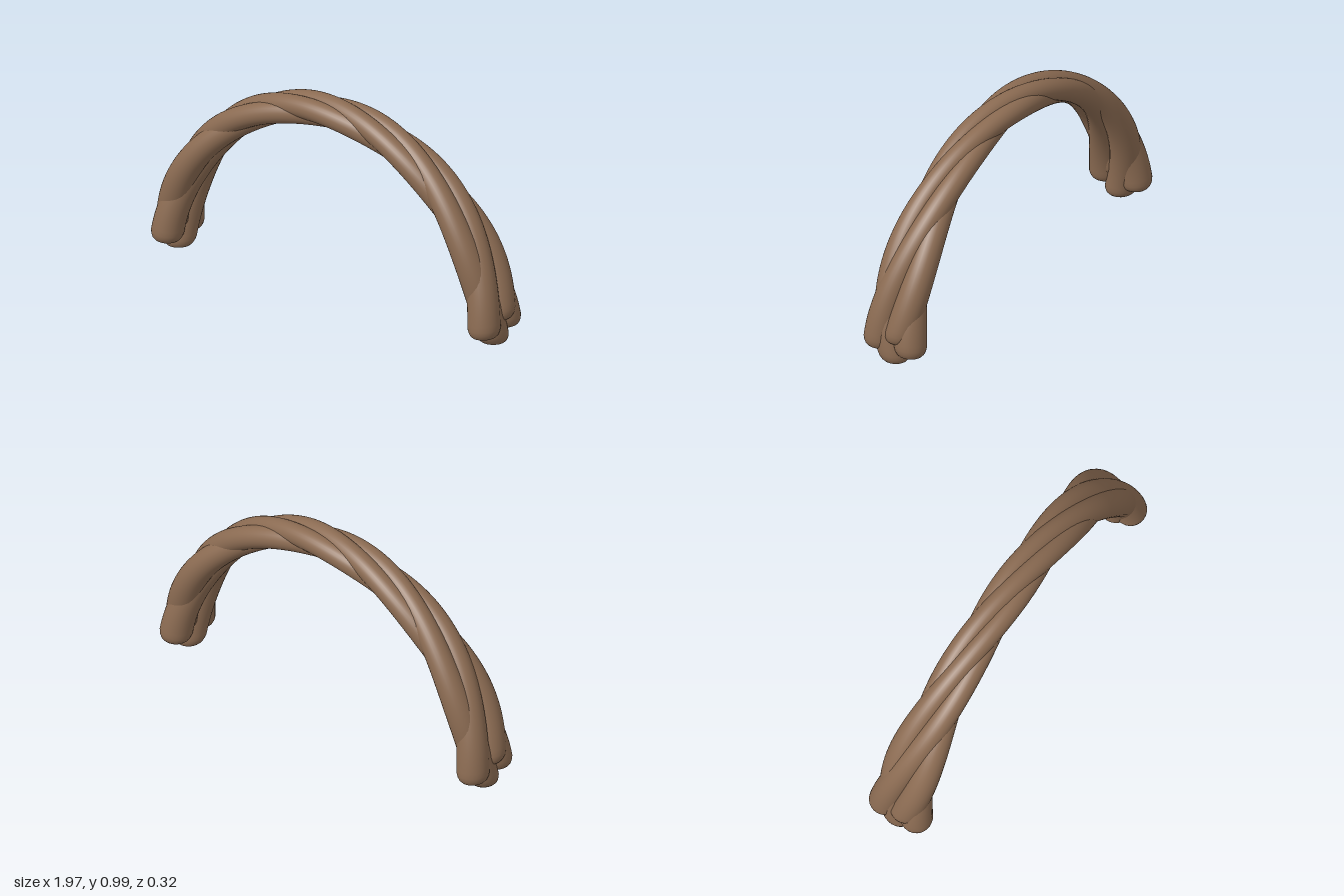
import * as THREE from 'three';

const ARCH_RADIUS = 0.91;
const STRANDS = 4;
const TWIST = Math.PI * 3;
const SIDES = 28;
const STEPS = 110;

// rounded strand tip: distance from the end, share of the full radius
const TIP = [[0, 0], [0, 0.62], [0.005, 0.76], [0.014, 0.87], [0.028, 0.95], [0.045, 1]];

// angle of a strand around the arch centre line, twisting slower at the ends
function phase(strand, theta) {
  const v = theta / Math.PI;
  return Math.PI / 2 * (1 + strand) - TWIST * (v - 0.025 * Math.sin(2 * Math.PI * v));
}

// one strand: circular sections swept along the twisted arch
function strandGeometry(strand) {
  const endGap = (theta) => (0.055 + 0.055 * Math.cos(phase(strand, theta))) / ARCH_RADIUS;
  const start = endGap(0);
  const end = Math.PI - endGap(Math.PI);

  const rings = TIP.map(([d, k]) => [start + d / ARCH_RADIUS, k]);
  const first = rings[rings.length - 1][0];
  const last = end - TIP[TIP.length - 1][0] / ARCH_RADIUS;
  for (let i = 1; i < STEPS; i++) rings.push([first + (last - first) * i / STEPS, 1]);
  for (const [d, k] of [...TIP].reverse()) rings.push([end - d / ARCH_RADIUS, k]);

  const positions = [];
  const indices = [];
  rings.forEach(([theta, k], i) => {
    // strands are thicker and spread sideways towards the feet
    const spread = Math.abs(Math.cos(theta)) ** 3;
    const radius = (0.052 + 0.026 * spread) * k;
    const phi = phase(strand, theta);
    const out = ARCH_RADIUS + 0.005 * (1 - spread) + (0.024 - 0.014 * spread) * Math.cos(phi);
    const side = (0.049 + 0.038 * spread) * Math.sin(phi);
    for (let j = 0; j < SIDES; j++) {
      const a = j / SIDES * Math.PI * 2;
      const r = out + radius * Math.cos(a);
      positions.push(r * Math.cos(theta), r * Math.sin(theta), side + radius * Math.sin(a));
      if (i < rings.length - 1) {
        const p = i * SIDES + j;
        const q = i * SIDES + (j + 1) % SIDES;
        indices.push(p, p + SIDES, q, q, p + SIDES, q + SIDES);
      }
    }
  });

  const geometry = new THREE.BufferGeometry();
  geometry.setAttribute('position', new THREE.Float32BufferAttribute(positions, 3));
  geometry.setIndex(indices);
  geometry.computeVertexNormals();
  return geometry;
}

export function createModel() {
  const model = new THREE.Group();
  model.name = 'twistedArch';
  const bark = new THREE.MeshStandardMaterial({ color: 0x8b6b52 });
  bark.name = 'brown bark';

  for (let s = 0; s < STRANDS; s++) {
    const strand = new THREE.Mesh(strandGeometry(s), bark);
    strand.name = `strand${s + 1}`;
    model.add(strand);
  }
  return model;
}
